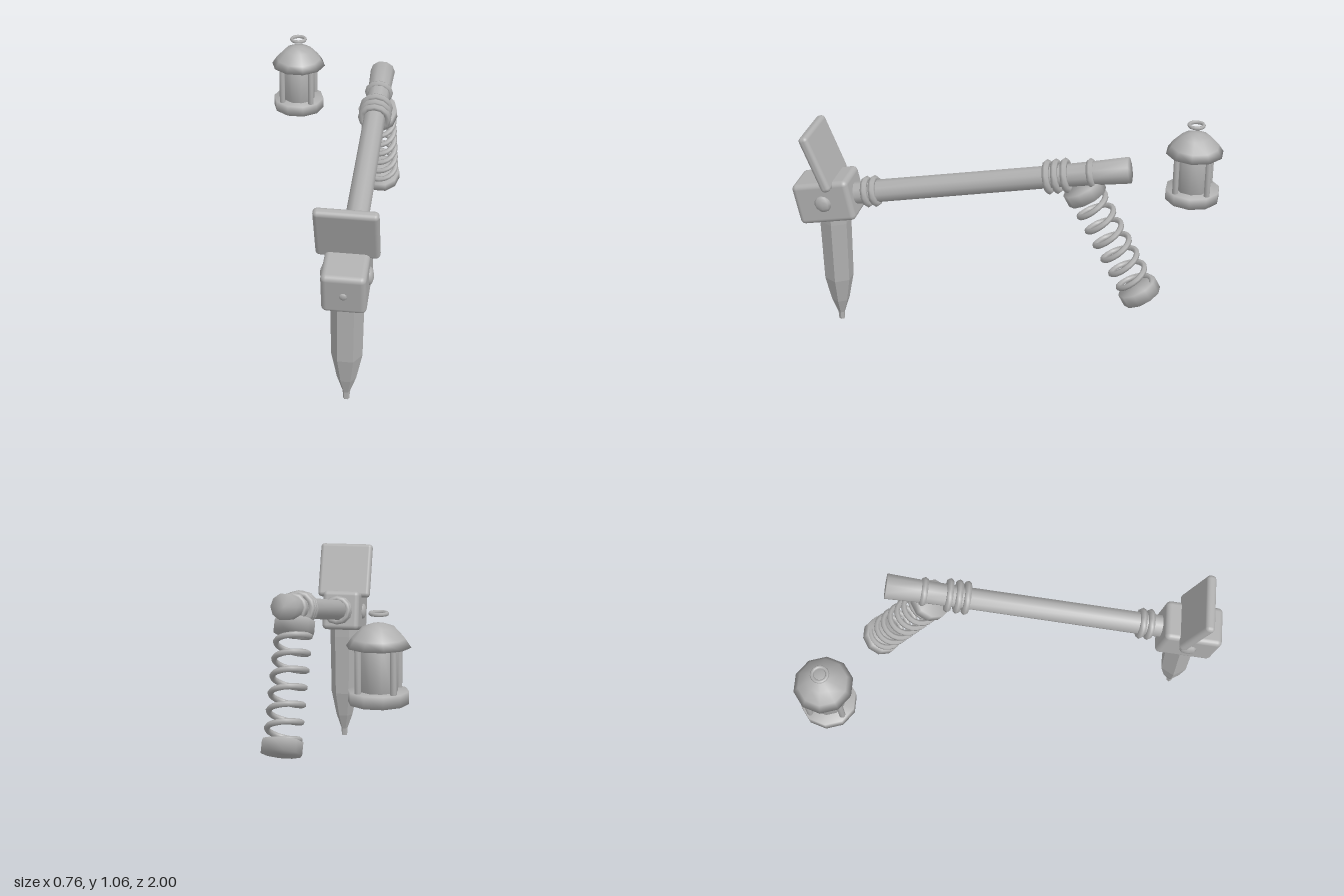
import * as THREE from 'three';
import { mergeVertices } from 'three/addons/utils/BufferGeometryUtils.js';
import { RoundedBoxGeometry } from 'three/addons/geometries/RoundedBoxGeometry.js';

const grey = new THREE.MeshStandardMaterial({ color: 0xb0b0b0 });
grey.name = 'grey';

function add(parent, name, geometry, x = 0, y = 0, z = 0) {
  const mesh = new THREE.Mesh(geometry, grey);
  mesh.name = name;
  mesh.position.set(x, y, z);
  parent.add(mesh);
  return mesh;
}

function addGroup(parent, name, x, y, z, tilt = 0) {
  const group = new THREE.Group();
  group.name = name;
  group.position.set(x, y, z);
  group.rotation.x = tilt;
  parent.add(group);
  return group;
}

// Turned shape from [radius, height] pairs, shaded softly or in facets
function turned(profile, sides, faceted = false) {
  let g = new THREE.LatheGeometry(profile.map(([r, y]) => new THREE.Vector2(r, y)), sides);
  g.rotateY(Math.PI / sides);
  g.deleteAttribute('uv');
  g.deleteAttribute('normal');
  g = mergeVertices(g, 1e-4);
  if (faceted) g = g.toNonIndexed();
  g.computeVertexNormals();
  return g;
}

const disc = (r, h, sides = 10) => turned([[0, 0], [r, 0], [r, h], [0, h]], sides);

class Helix extends THREE.Curve {
  constructor(radius, length, turns) {
    super();
    Object.assign(this, { radius, length, turns });
  }
  getPoint(t, target = new THREE.Vector3()) {
    const a = t * this.turns * Math.PI * 2;
    return target.set(Math.cos(a) * this.radius, -t * this.length, Math.sin(a) * this.radius);
  }
}

export function createModel() {
  const model = new THREE.Group();
  model.name = 'pickAndLantern';
  const X = 0.235;

  // Tilted head and handle, with the handle running along local -z
  const tool = addGroup(model, 'tool', X, 0.7, 0.845, 0.195);
  add(tool, 'headBlock', new RoundedBoxGeometry(0.2, 0.21, 0.285, 3, 0.025));
  add(tool, 'frontRivet', new THREE.SphereGeometry(0.02, 8, 6), 0, 0, 0.14).scale.z = 0.5;
  for (const side of [-1, 1]) {
    add(tool, 'sideBolt', new THREE.SphereGeometry(0.042, 8, 6), side * 0.1, 0, 0).scale.x = 0.45;
  }
  const handle = turned([[0, 0.1], [0.055, 0.1], [0.053, 1.15], [0.056, 1.32], [0.062, 1.485], [0, 1.485]], 10);
  add(tool, 'handle', handle.rotateX(-Math.PI / 2));

  // Binding rings: distance along the handle and ring radius
  for (const [s, r] of [[0.2, 0.06], [0.24, 0.06], [1.1, 0.066], [1.14, 0.066], [1.185, 0.066], [1.305, 0.054]]) {
    add(tool, 'handleRing', new THREE.TorusGeometry(r, 0.017, 6, 12), 0, 0, -s);
  }

  // Flat blade above the head
  add(model, 'blade', new RoundedBoxGeometry(0.285, 0.295, 0.048, 3, 0.02), X, 0.92, 0.863).rotation.x = 0.37;

  // Six-sided spike below the head
  const spike = [[0, 0], [0.015, 0], [0.017, 0.04], [0.045, 0.12], [0.072, 0.25], [0.077, 0.57], [0.07, 0.72], [0, 0.72]];
  add(model, 'spike', turned(spike, 6, true), X, 0, 0.82);

  // Spring hanging between two end caps
  const spring = addGroup(model, 'spring', X, 0.855, -0.405, 0.5);
  add(spring, 'upperCap', disc(0.097, 0.06), 0, -0.03, 0);
  add(spring, 'lowerCap', disc(0.097, 0.06), 0, -0.605, 0);
  add(spring, 'coil', new THREE.TubeGeometry(new Helix(0.078, 0.575, 7), 140, 0.014, 6));

  // Lantern
  const lantern = addGroup(model, 'lantern', -0.24, 0.63, -0.865);
  add(lantern, 'lanternBase', disc(0.134, 0.055));
  add(lantern, 'lanternGlass', disc(0.084, 0.22), 0, 0.045, 0);
  for (const x of [-0.077, 0.077]) {
    for (const z of [-0.077, 0.077]) add(lantern, 'lanternPost', disc(0.015, 0.22, 8), x, 0.045, z);
  }
  const roof = [[0, 0.248], [0.142, 0.248], [0.117, 0.285], [0.072, 0.333], [0.03, 0.348], [0, 0.352]];
  add(lantern, 'lanternRoof', turned(roof, 10));
  add(lantern, 'lanternRing', new THREE.TorusGeometry(0.036, 0.009, 6, 14), 0, 0.392, 0).rotation.x = Math.PI / 2;

  return model;
}
